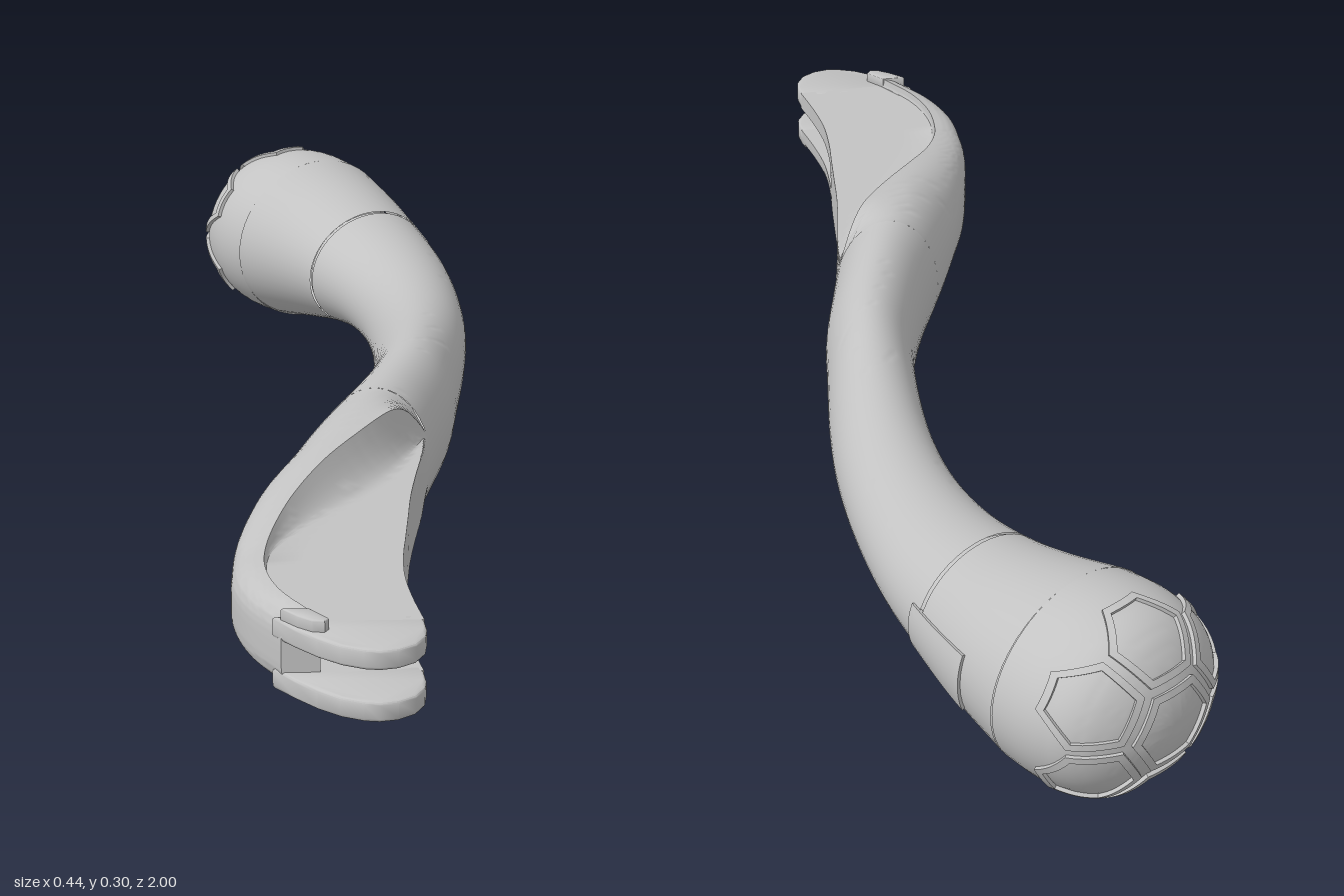
import * as THREE from 'three';
import { toCreasedNormals } from 'three/addons/utils/BufferGeometryUtils.js';

const MID = 0.153;                 // height of the lever's centre line
const FLAT_TOP = 0.205, FLAT_BOTTOM = 0.10;   // thinned plate
const SLOT_TOP = 0.175, SLOT_BOTTOM = 0.13;   // fork slot

const grey = new THREE.MeshStandardMaterial({ color: 0xc3c3c3, side: THREE.DoubleSide });
grey.name = 'grey';

function part(name, geometry, crease = 0.6) {
  const mesh = new THREE.Mesh(toCreasedNormals(geometry, crease), grey);
  mesh.name = name;
  return mesh;
}

// Smooth lookup in a table whose first column is the key
function table(rows, Kind = THREE.CubicInterpolant) {
  const size = rows[0].length - 1;
  const curve = new Kind(rows.map(r => r[0]), rows.flatMap(r => r.slice(1)), size);
  return t => Array.from(curve.evaluate(t));
}

// Skin over rings of points; closed rings are counterclockwise seen from the end
function loft(rings, closed = true, capEnd = false) {
  const n = rings[0].length, positions = [], index = [];
  rings.forEach(ring => ring.forEach(p => positions.push(...p)));
  for (let i = 0; i < rings.length - 1; i++) {
    for (let j = 0; j < (closed ? n : n - 1); j++) {
      const a = i * n + j, b = i * n + (j + 1) % n;
      index.push(a, b, b + n, a, b + n, a + n);
    }
  }
  if (capEnd) {
    const base = (rings.length - 1) * n;
    const outline = rings.at(-1).map(p => new THREE.Vector2(p[0], p[1]));
    THREE.ShapeUtils.triangulateShape(outline, []).forEach(f => index.push(...f.map(k => base + k)));
  }
  const geometry = new THREE.BufferGeometry();
  geometry.setAttribute('position', new THREE.Float32BufferAttribute(positions, 3));
  geometry.setIndex(index);
  return geometry;
}

const steps = (from, to, n) => Array.from({ length: n + 1 }, (_, i) => from + (to - from) * i / n);

// Handle: station, left x z, right x z, top, bottom
const handleAt = table([
  [0, -0.16, -0.71, 0.11, -0.89, 0.295, 0.01],
  [1, -0.09, -0.64, 0.145, -0.79, 0.274, 0.031],
  [2, -0.035, -0.565, 0.172, -0.69, 0.254, 0.052],
  [3, 0.01, -0.48, 0.2, -0.56, 0.24, 0.067],
  [4, 0.042, -0.38, 0.214, -0.42, 0.235, 0.07],
  [5, 0.057, -0.27, 0.216, -0.28, 0.238, 0.065],
  [6, 0.058, -0.15, 0.206, -0.15, 0.248, 0.056],
  [7, 0.045, 0, 0.185, 0, 0.265, 0.042],
  [8, 0.02, 0.1, 0.17, 0.1, 0.272, 0.036],
  [9, -0.015, 0.2, 0.145, 0.2, 0.278, 0.031],
  [10, -0.045, 0.27, 0.127, 0.27, 0.28, 0.03],
]);

function handlePoint(t, angle, swell = 1) {
  const [lx, lz, rx, rz, top, bottom] = handleAt(t);
  const c = Math.cos(angle) * swell / 2, s = Math.sin(angle) * swell;
  return [(lx + rx) / 2 + (rx - lx) * c, MID + s * (s > 0 ? top - MID : MID - bottom), (lz + rz) / 2 + (rz - lz) * c];
}

function handleRings(from, to, n, swell) {
  const angles = steps(0, Math.PI * 2, 48).slice(0, -1);
  return steps(from, to, n).map(t => angles.map(a => handlePoint(t, a, swell)));
}

// Fork end: z, left, right, top, bottom, pocket edge, flat edge
const forkAt = table([
  [0.27, -0.045, 0.127, 0.28, 0.03, 0.119, 0.122],
  [0.34, -0.075, 0.112, 0.279, 0.031, 0.07, 0.1],
  [0.42, -0.107, 0.097, 0.273, 0.036, 0.015, 0.07],
  [0.5, -0.135, 0.085, 0.262, 0.048, -0.04, 0.02],
  [0.58, -0.155, 0.077, 0.245, 0.066, -0.085, -0.045],
  [0.65, -0.168, 0.07, 0.23, 0.087, -0.112, -0.095],
  [0.7, -0.172, 0.065, 0.222, 0.098, -0.124, -0.118],
  [0.77, -0.171, 0.063, 0.222, 0.1, -0.126, -0.122],
  [0.84, -0.15, 0.07, 0.222, 0.1, -0.108, -0.104],
  [0.91, -0.107, 0.082, 0.222, 0.1, -0.068, -0.064],
]);
const slotAt = table([[0.68, 0.066], [0.69, -0.03], [0.71, -0.07], [0.75, -0.1], [0.8, -0.105], [0.85, -0.085], [0.91, -0.055]], THREE.LinearInterpolant);

function forkRing(z) {
  const [left, right, top, bottom, edge, flat] = forkAt(z);
  const outerPower = 2 + 2 * THREE.MathUtils.smoothstep(z, 0.4, 0.7);
  const innerPower = 2 + 12 * THREE.MathUtils.smoothstep(z, 0.27, 0.6);
  const open = THREE.MathUtils.smoothstep(z, 0.3, 0.6);
  // Half section from the outer edge to the slot, measured away from the centre line
  const half = (height, level, slot) => {
    const round = x => {
      const u = THREE.MathUtils.clamp((2 * x - left - right) / (right - left), -1, 1);
      const power = u < 0 ? outerPower : innerPower;
      return height * Math.pow(1 - Math.pow(Math.abs(u), power), 1 / power);
    };
    const points = steps(0, 1, 18).map(t => {
      const x = left + (edge - left) * Math.pow(t, 2.5);
      return [x, round(x)];
    });
    const start = round(edge);
    steps(0, 1, 6).slice(1).forEach(t => {
      const x = edge + (flat - edge) * t;
      points.push([x, Math.min(round(x), level + Math.max(0, start - level) * (1 - t) ** 2)]);
    });
    steps(0, 1, 10).slice(1).forEach(t => {
      const x = flat + (right - flat) * (1 - (1 - t) ** 3);
      points.push([x, Math.max(slot, Math.min(level, round(x)))]);
    });
    const inner = z < 0.68 ? right : Math.min(right, slotAt(z)[0]);
    points.push([inner, slot]);
    return points;
  };
  const upper = half(top - MID, FLAT_TOP - MID, (SLOT_TOP - MID) * open).map(([x, h]) => [x, MID + h, z]);
  const lower = half(MID - bottom, MID - FLAT_BOTTOM, (MID - SLOT_BOTTOM) * open).map(([x, h]) => [x, MID - h, z]);
  return [...lower, ...upper.reverse().slice(0, -1)];
}

// Rounded plate from a plan outline of x, z points
function plate(points, low, high, bevel) {
  const shape = new THREE.Shape(points.map(p => new THREE.Vector2(...p)));
  const geometry = new THREE.ExtrudeGeometry(shape, {
    depth: high - low - 2 * bevel, bevelSize: bevel, bevelThickness: bevel, bevelOffset: -bevel, bevelSegments: 4,
  });
  return geometry.rotateX(Math.PI / 2).translate(0, high - bevel, 0);
}

// Knob profile from the pole to the rim: radius, distance along the axis
const profile = new THREE.SplineCurve([
  [0, 0.192], [0.035, 0.188], [0.068, 0.179], [0.1, 0.165], [0.13, 0.143], [0.15, 0.115], [0.16, 0.08], [0.163, 0.045], [0.16, 0],
].map(p => new THREE.Vector2(...p)));
const profileLength = profile.getLength();

// Wrap a flat pattern point over the knob, lifted by h
function onKnob(u, v, h) {
  const reach = Math.hypot(u, v), angle = Math.atan2(v, u);
  const p = profile.getPointAt(Math.min(1, reach / profileLength));
  const lift = 1 + h / 0.14;
  return [p.x * lift * Math.cos(angle), 0.04 + (p.y - 0.04) * lift, p.x * lift * Math.sin(angle)];
}

function hexBand(cu, cv) {
  const corner = k => [Math.cos(k * Math.PI / 3), Math.sin(k * Math.PI / 3)];
  const rings = steps(0, 6, 48).map(s => {
    const k = Math.min(5, Math.floor(s)), f = s - k, a = corner(k), b = corner(k + 1);
    const x = a[0] + (b[0] - a[0]) * f, y = a[1] + (b[1] - a[1]) * f;
    return [[0.064, -0.002], [0.064, 0.005], [0.077, 0.005], [0.077, -0.002]]
      .map(([r, h]) => onKnob(cu + x * r, cv + y * r, h));
  });
  return loft(rings);
}

export function createModel() {
  const model = new THREE.Group();
  model.name = 'lever';

  // Curved handle and collar, parted by a fine groove
  model.add(part('handle', loft(handleRings(2.03, 10, 80, 1))));
  model.add(part('collar', loft(handleRings(0, 1.97, 20, 1))));
  model.add(part('collarGroove', loft(handleRings(1.9, 2.1, 4, 0.95))));

  // Raised side tab across the groove, with edges sunk into the surface
  const inset = list => [list[0], ...list, list.at(-1)];
  const along = inset(steps(0.75, 2.2, 16)), around = inset(steps(-0.36, 0.36, 8));
  const tab = along.map((t, i) => around.map((a, j) => {
    const border = i === 0 || j === 0 || i === along.length - 1 || j === around.length - 1;
    return handlePoint(t, a, border ? 0.97 : 1.035);
  }));
  model.add(part('collarTab', loft(tab, false)));

  // Fork end with hollowed pockets and open slot
  const forkRings = steps(0.27, 0.91, 64).map(forkRing);
  model.add(part('forkBody', loft(forkRings, true, true), 0.5));
  const tip = [[-0.118, 0.895], [-0.09, 0.93], [-0.06, 0.961], [-0.03, 0.984], [0, 0.997], [0.02, 1], [0.045, 0.995],
    [0.068, 0.98], [0.081, 0.957], [0.084, 0.935], [0.082, 0.91], [0.079, 0.895]];
  model.add(part('upperBlade', plate(tip, SLOT_TOP, FLAT_TOP, 0.005)));
  model.add(part('lowerBlade', plate(tip, FLAT_BOTTOM, SLOT_BOTTOM, 0.005)));
  const rimEnd = [[-0.107, 0.905], [-0.085, 0.929], [-0.066, 0.943], [-0.05, 0.945], [-0.044, 0.935], [-0.068, 0.905]];
  model.add(part('rimEnd', plate(rimEnd, 0.195, 0.222, 0.004)));

  // Rounded knob with a raised honeycomb pattern
  const knob = new THREE.Group();
  knob.name = 'knob';
  const outline = [new THREE.Vector2(0.15, -0.003), ...profile.getSpacedPoints(32).reverse()];
  outline.at(-1).x = 0;
  knob.add(part('knobCap', new THREE.LatheGeometry(outline, 64)));
  knob.add(part('hexBand', hexBand(0, 0)));
  for (let k = 0; k < 6; k++) {
    const a = (k + 0.5) * Math.PI / 3;
    knob.add(part('hexBand', hexBand(0.148 * Math.cos(a), 0.148 * Math.sin(a))));
  }
  knob.children.forEach(m => m.geometry.rotateX(-Math.PI / 2).scale(1, 0.9, 1));
  knob.position.set(-0.025, 0.151, -0.8);
  knob.rotation.y = 0.588;
  model.add(knob);

  return model;
}
